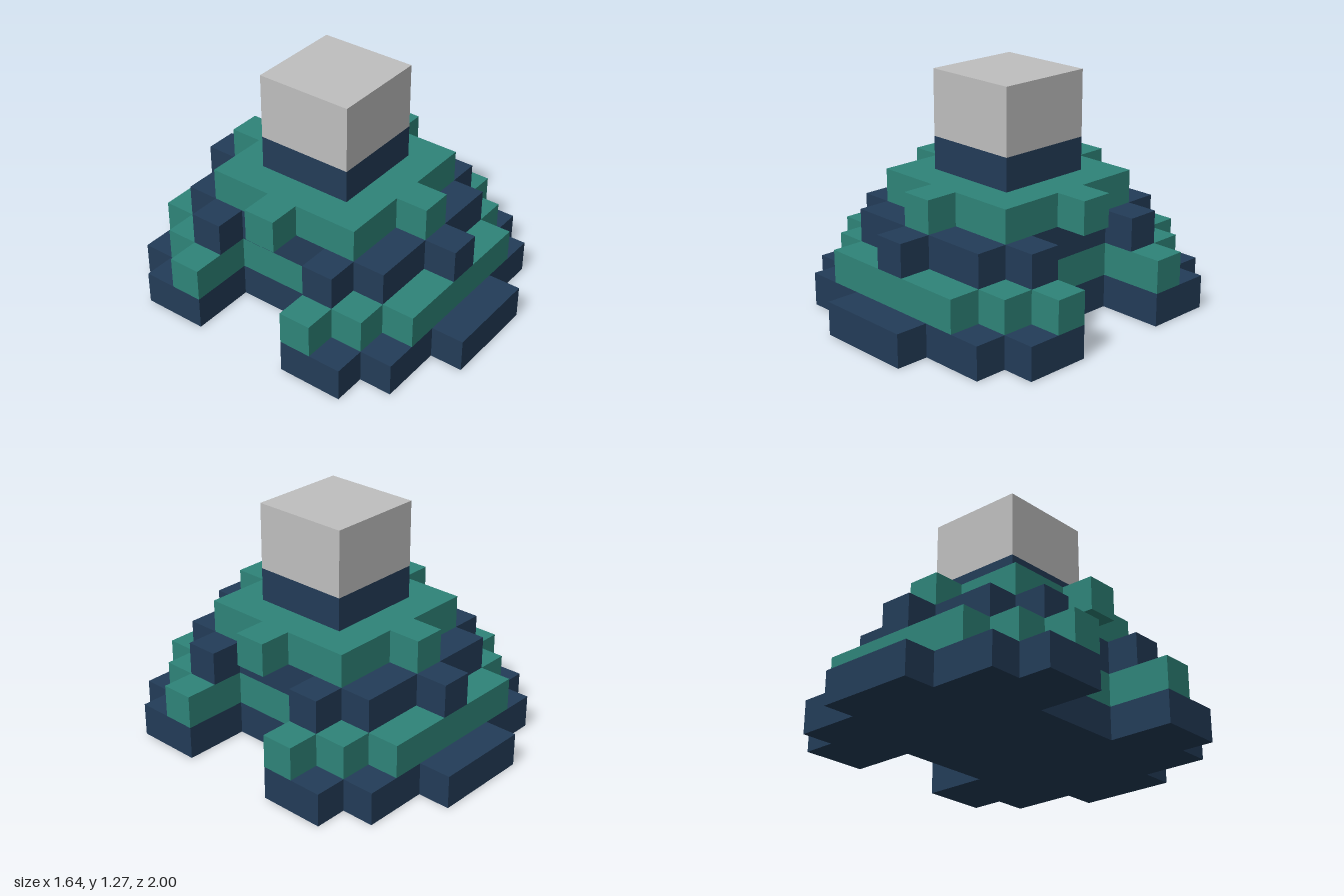
import * as THREE from 'three';

const U = 2 / 11; // one block

// Stepped outline, mirrored in x and z. steps: [halfWidth, outerZ] in blocks, from the middle outwards.
function steppedShape(steps) {
  const quarter = [];
  let z = 0;
  for (const [halfWidth, outerZ] of steps) {
    if (z > 0) quarter.push([halfWidth, z]);
    quarter.push([halfWidth, outerZ]);
    z = outerZ;
  }
  const back = [...quarter].reverse();
  const outline = [
    ...quarter,
    ...back.map(([x, y]) => [-x, y]),
    ...quarter.map(([x, y]) => [-x, -y]),
    ...back.map(([x, y]) => [x, -y]),
  ];
  return new THREE.Shape(outline.map(([x, y]) => new THREE.Vector2(x * U, y * U)));
}

export function createModel() {
  const model = new THREE.Group();
  model.name = 'steppedMonument';

  const material = (name, color) => {
    const m = new THREE.MeshStandardMaterial({ color });
    m.name = name;
    return m;
  };
  const navy = material('navy', 0x233c58);
  const green = material('green', 0x2e8479);
  const grey = material('grey', 0xbfbfbf);

  const add = (name, geometry, mat, y) => {
    const mesh = new THREE.Mesh(geometry, mat);
    mesh.name = name;
    mesh.position.y = y * U;
    model.add(mesh);
  };

  // Four stepped tiers, notched at both sides
  const tiers = [
    ['baseTier', navy, [[2.5, 1.5], [4.5, 3.5], [3.5, 4.5], [1.5, 5.5]]],
    ['lowerTier', green, [[2.5, 1.5], [4.5, 2.5], [3.5, 3.5], [2.5, 4.5]]],
    ['middleTier', navy, [[2.5, 1.5], [3.5, 2.5], [2.5, 3.5], [0.5, 4.5]]],
    ['upperTier', green, [[3.5, 0.5], [2.5, 2.5], [0.5, 3.5]]],
  ];
  tiers.forEach(([name, mat, steps], level) => {
    const geometry = new THREE.ExtrudeGeometry(steppedShape(steps), { depth: U, bevelEnabled: false });
    geometry.rotateX(-Math.PI / 2);
    add(name, geometry, mat, level);
  });

  // Neck and the block on top
  add('neck', new THREE.BoxGeometry(3 * U, U, 3 * U), navy, 4.5);
  add('topBlock', new THREE.BoxGeometry(3 * U, 2 * U, 3 * U), grey, 6);

  return model;
}
